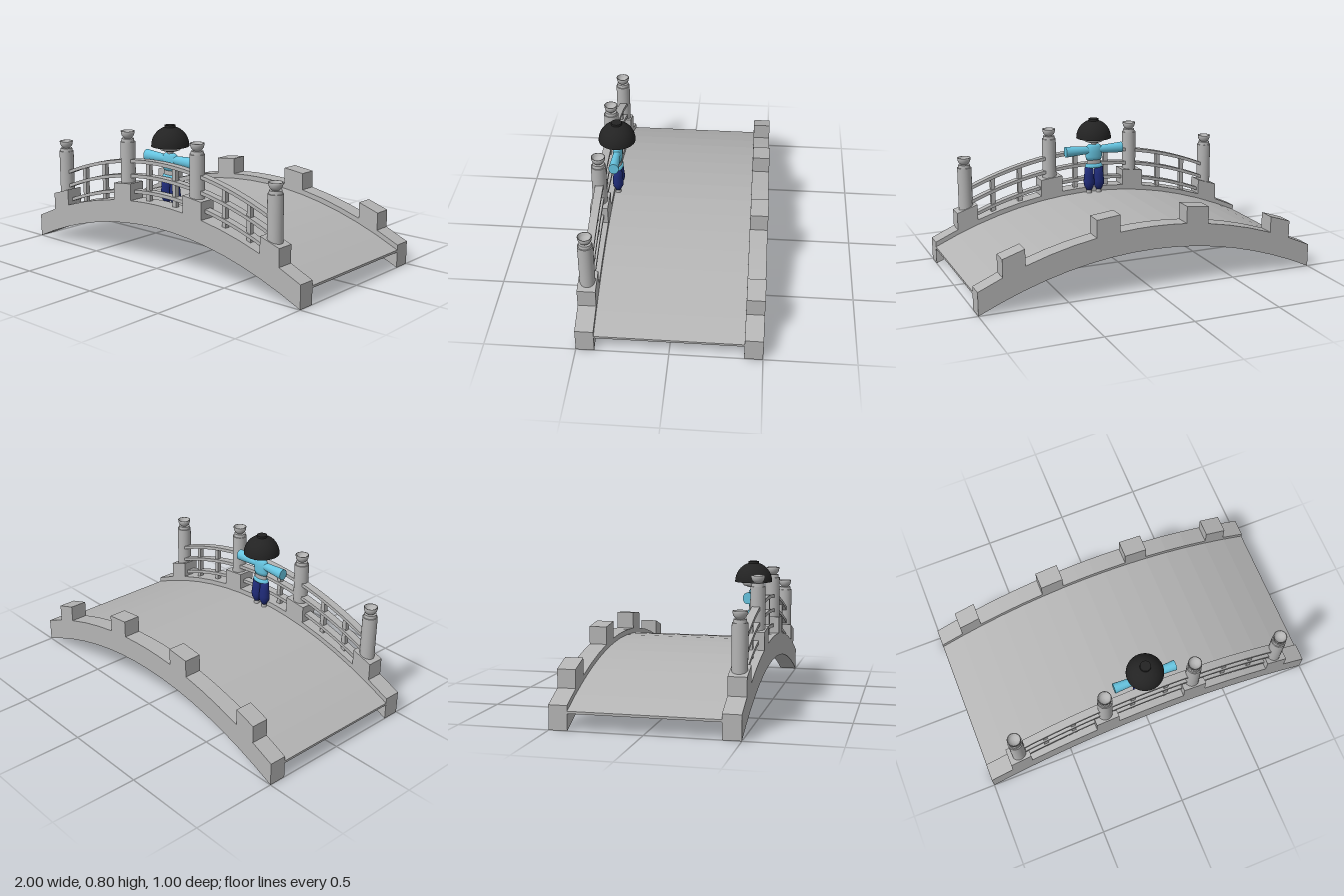
import * as THREE from 'three';

const mat = (name, color, side = THREE.FrontSide) => {
  const m = new THREE.MeshStandardMaterial({ color, side });
  m.name = name;
  return m;
};

// Height of the underside of the arch at x
const arch = (x) => 0.003 + 0.235 * (1 - x * x);

export function createModel() {
  const stone = mat('stone grey', 0xb4b4b4, THREE.DoubleSide);
  const cyan = mat('shirt cyan', 0x66c4e0);
  const navy = mat('trouser navy', 0x1f2b78);
  const black = mat('hair black', 0x232323);
  const model = new THREE.Group();
  model.name = 'archedBridge';

  const add = (parent, name, geometry, material, x = 0, y = 0, z = 0) => {
    const mesh = new THREE.Mesh(geometry, material);
    mesh.name = name;
    mesh.position.set(x, y, z);
    parent.add(mesh);
    return mesh;
  };
  const extrude = (points, depth) =>
    new THREE.ExtrudeGeometry(new THREE.Shape(points.map((p) => new THREE.Vector2(...p))),
      { depth, bevelEnabled: false });
  // Curved strip between two height functions
  const strip = (low, high, x0, x1, n, depth) => {
    const pts = [];
    for (let i = 0; i <= n; i++) { const x = x0 + (x1 - x0) * i / n; pts.push([x, low(x)]); }
    for (let i = n; i >= 0; i--) { const x = x0 + (x1 - x0) * i / n; pts.push([x, high(x)]); }
    return extrude(pts, depth);
  };
  const lathe = (pts, segments = 28) =>
    new THREE.LatheGeometry(pts.map((p) => new THREE.Vector2(...p)), segments);

  // Deck
  add(model, 'deck', strip((x) => arch(x) + 0.087, (x) => arch(x) + 0.1, -1, 1, 15, 0.8), stone, 0, 0, -0.4);

  // Side beams with raised post blocks
  const top = (x) => [x, arch(x) + 0.129];
  const half = [top(0), top(0.1), top(0.2), [0.2, 0.455], [0.335, 0.44], top(0.335), top(0.47), top(0.6),
    top(0.738), [0.738, 0.333], [0.863, 0.292], top(0.863), [1, 0.132]];
  const profile = [];
  for (let i = 0; i <= 16; i++) { const x = -1 + i / 8; profile.push([x, Math.max(0, arch(x) - 0.003)]); }
  profile.push(...half.slice().reverse(), ...half.slice(1).map(([x, y]) => [-x, y]));
  for (const z of [0.4, -0.5]) add(model, z > 0 ? 'frontBeam' : 'backBeam', extrude(profile, 0.1), stone, 0, 0, z);

  // Railing on the front side
  const railing = new THREE.Group();
  railing.name = 'railing';
  model.add(railing);
  [0.6, 0.515, 0.425].forEach((h, i) => {
    const line = (x) => h - 0.27 * x * x;
    const spans = [[-0.77, -0.28], [-0.25, 0.25], [0.28, 0.77]];
    for (const [a, b] of spans) {
      add(railing, 'rail' + (i + 1), strip((x) => line(x) - 0.02, line, a, b, 8, 0.045), stone, 0, 0, 0.423);
    }
  });
  for (const x of [-0.63, -0.46, -0.1, 0.1, 0.46, 0.63]) {
    const low = arch(x) + 0.12, high = 0.59 - 0.27 * x * x;
    add(railing, 'baluster', new THREE.BoxGeometry(0.026, high - low, 0.026), stone, x, (low + high) / 2, 0.446);
  }

  // Round posts with open bowl caps
  for (const [x, y] of [[-0.797, 0.298], [-0.265, 0.442], [0.265, 0.442], [0.797, 0.298]]) {
    const post = new THREE.Group();
    post.name = 'post';
    post.position.set(x, y, 0.45);
    railing.add(post);
    const h = y > 0.4 ? 0.242 : 0.258;
    add(post, 'postShaft', new THREE.CylinderGeometry(0.042, 0.042, h, 28), stone, 0, h / 2);
    add(post, 'postCollar', new THREE.CylinderGeometry(0.034, 0.036, 0.018, 28), stone, 0, h + 0.009);
    add(post, 'postBowl', lathe([[0.016, 0.015], [0.022, 0.021], [0.03, 0.028], [0.035, 0.037], [0.038, 0.048],
      [0.039, 0.06], [0.034, 0.06], [0.031, 0.05], [0.024, 0.041], [0.012, 0.036], [0, 0.034]]), stone, 0, h);
  }

  // Standing figure
  const figure = new THREE.Group();
  figure.name = 'figure';
  figure.position.z = 0.38;
  model.add(figure);

  // Bowl shaped hair, flat underneath
  const dome = [[0, 0.683], [0.106, 0.683], [0.106, 0.683]];
  for (let i = 1; i <= 10; i++) {
    const a = i / 10 * Math.PI / 2;
    dome.push([Math.max(0, 0.106 * Math.cos(a)), 0.683 + 0.11 * Math.sin(a)]);
  }
  add(figure, 'hair', lathe(dome, 36), black);
  add(figure, 'hairTop', new THREE.CylinderGeometry(0.03, 0.032, 0.02, 24), black, 0, 0.79);
  add(figure, 'face', lathe([[0, 0.652], [0.035, 0.654], [0.056, 0.662], [0.064, 0.674], [0.066, 0.688]]), stone);
  add(figure, 'neck', new THREE.CylinderGeometry(0.017, 0.017, 0.03, 20), stone, 0, 0.645);

  // Clothing, flattened from front to back
  const shirt = add(figure, 'shirt', lathe([[0, 0.542], [0.048, 0.545], [0.053, 0.565], [0.055, 0.6],
    [0.05, 0.628], [0.035, 0.64], [0, 0.644]]), cyan);
  shirt.scale.z = 0.5;
  const waist = add(figure, 'waist', new THREE.CylinderGeometry(0.045, 0.045, 0.04, 24), stone, 0, 0.533);
  waist.scale.z = 0.52;
  const hem = add(figure, 'shirtHem', lathe([[0, 0.494], [0.056, 0.496], [0.057, 0.505], [0.05, 0.52], [0, 0.524]]), cyan);
  hem.scale.z = 0.54;

  for (const s of [-1, 1]) {
    // Outstretched sleeve, wider at the cuff
    const sleeve = add(figure, s > 0 ? 'leftSleeve' : 'rightSleeve',
      new THREE.CylinderGeometry(0.033, 0.023, 0.155, 24), cyan, s * 0.107, 0.606);
    sleeve.rotation.z = -s * Math.PI / 2;
    sleeve.scale.z = 0.88;
    // Baggy trouser leg and foot
    const leg = add(figure, s > 0 ? 'leftLeg' : 'rightLeg', lathe([[0, 0.354], [0.016, 0.355], [0.023, 0.37],
      [0.032, 0.385], [0.034, 0.41], [0.03, 0.45], [0.026, 0.5], [0, 0.502]]), navy, s * 0.032);
    leg.scale.z = 0.92;
    add(figure, s > 0 ? 'leftFoot' : 'rightFoot', new THREE.CylinderGeometry(0.014, 0.017, 0.03, 20), stone,
      s * 0.032, 0.346);
  }
  return model;
}
